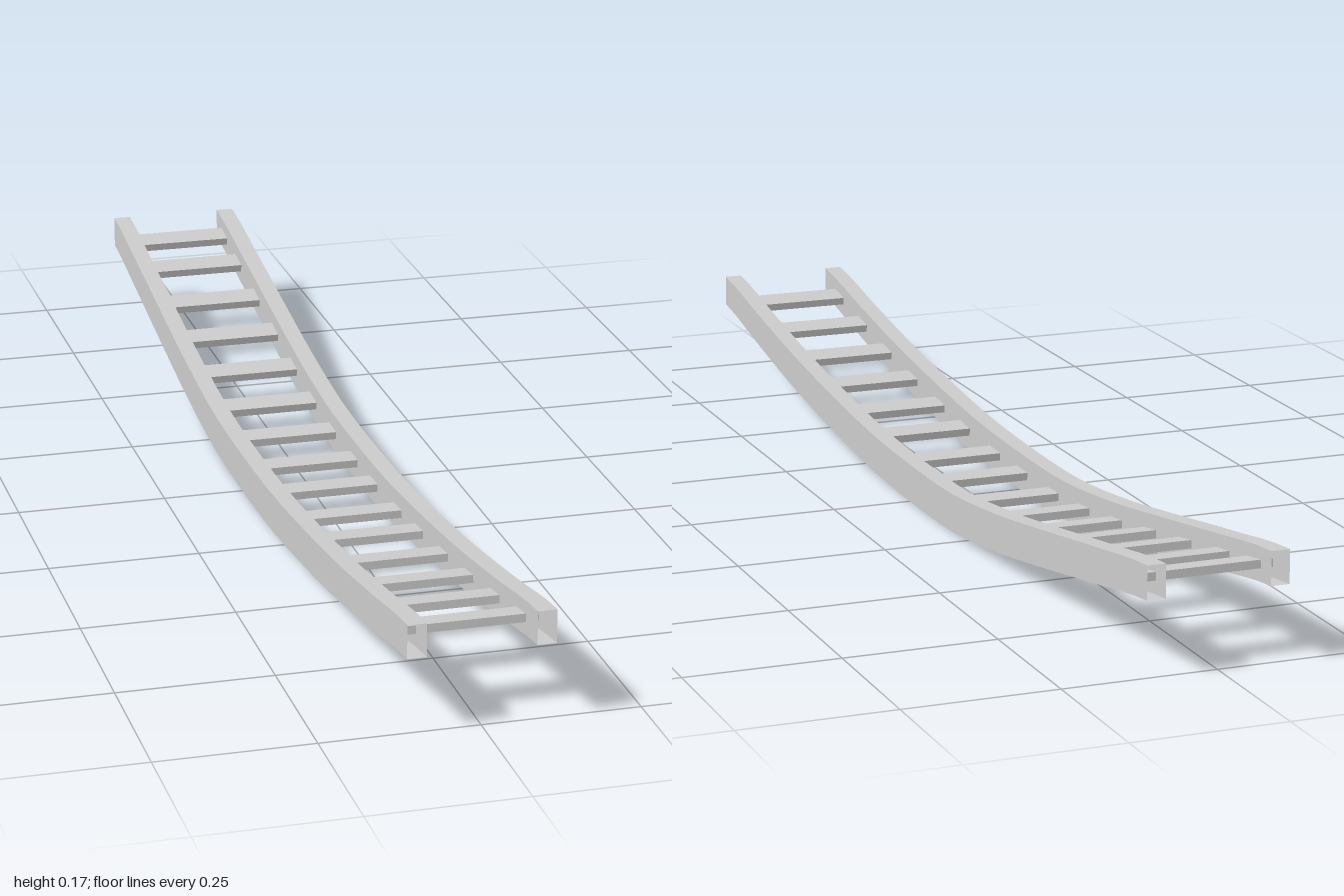
import * as THREE from 'three';

const material = new THREE.MeshStandardMaterial({ color: 0xcccccc, side: THREE.DoubleSide });

// Sagging centre line (z, y), from back to front
const sag = new THREE.SplineCurve([
  [-1, 0.146], [-0.8, 0.117], [-0.6, 0.085], [-0.4, 0.055], [-0.2, 0.035], [0, 0.033],
  [0.2, 0.04], [0.4, 0.058], [0.6, 0.082], [0.8, 0.113], [1, 0.146],
].map(([z, y]) => new THREE.Vector2(z, y)));

const SEGMENTS = 40;

// Hollow rectangular tube, open at both ends, bent along the centre line
function railGeometry() {
  const geo = new THREE.BoxGeometry(0.03, 1, 2, 1, 1, SEGMENTS);
  const sides = Array.from(geo.index.array).slice(0, geo.groups[4].start);
  geo.setIndex(sides);
  geo.clearGroups();
  const pos = geo.attributes.position;
  for (let i = 0; i < pos.count; i++) {
    const z = pos.getZ(i);
    const centre = sag.getPoint((z + 1) / 2);
    const height = 0.065 - 0.011 * z * z;
    pos.setY(i, centre.y + pos.getY(i) * height);
  }
  geo.computeVertexNormals();
  return geo;
}

export function createModel() {
  const group = new THREE.Group();
  group.name = 'curvedLadder';

  // Side rails
  const railGeo = railGeometry();
  for (const side of [-1, 1]) {
    const rail = new THREE.Mesh(railGeo, material);
    rail.name = side > 0 ? 'leftRail' : 'rightRail';
    rail.position.x = side * 0.1;
    group.add(rail);
  }

  // Flat rungs, tilted to follow the rails and let into them
  const rungGeo = new THREE.BoxGeometry(0.21, 0.013, 0.047);
  const rungZ = [-0.94, -0.83, -0.69, -0.555, -0.42, -0.285, -0.153, -0.013,
    0.112, 0.257, 0.381, 0.519, 0.655, 0.79, 0.92];
  rungZ.forEach((z, i) => {
    const t = (z + 1) / 2;
    const slope = sag.getTangent(t);
    const rung = new THREE.Mesh(rungGeo, material);
    rung.name = `rung${i + 1}`;
    rung.position.set(0, sag.getPoint(t).y, z);
    rung.rotation.x = -Math.atan2(slope.y, slope.x);
    group.add(rung);
  });

  return group;
}
